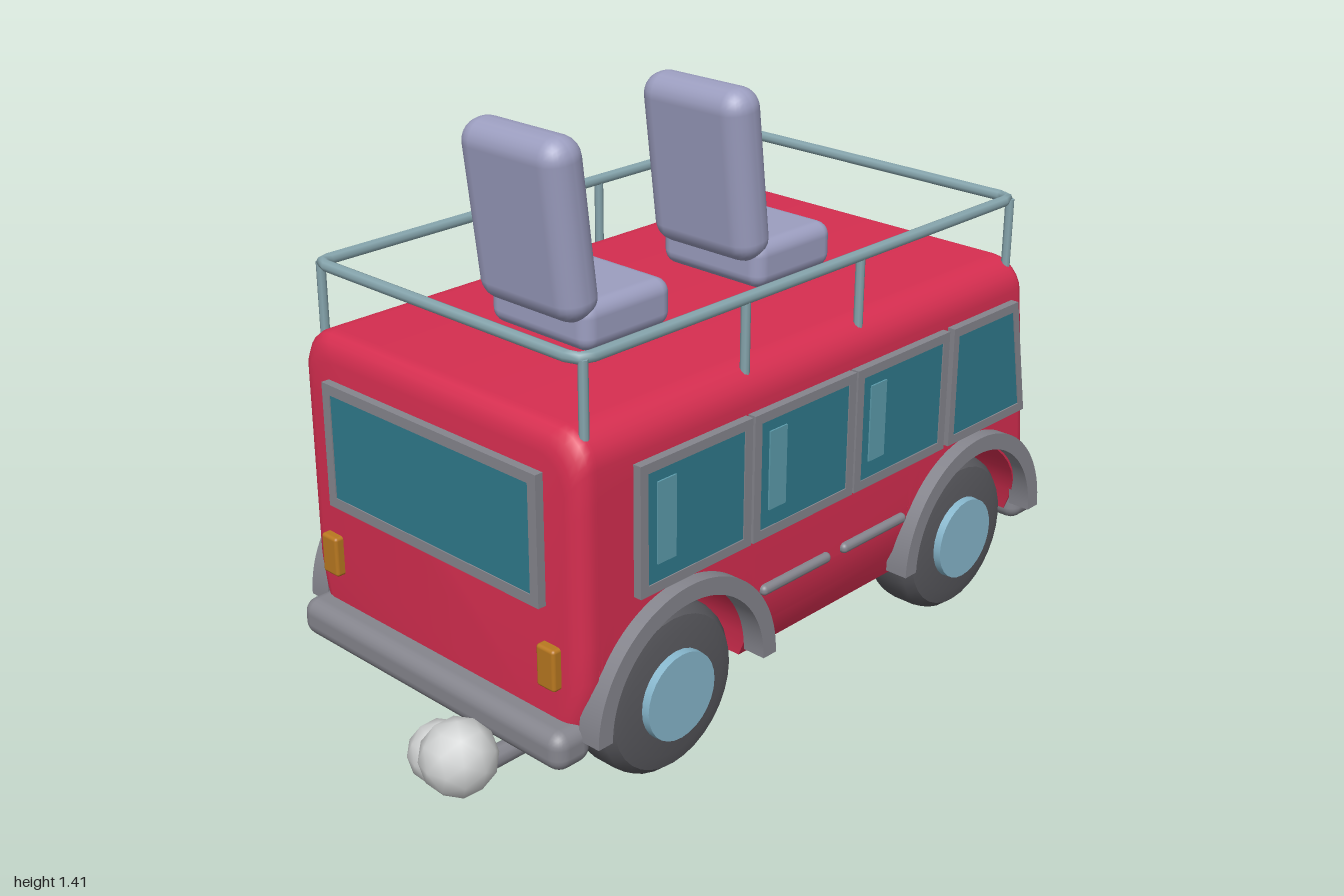
import * as THREE from 'three';
import { toCreasedNormals } from 'three/addons/utils/BufferGeometryUtils.js';
import { RoundedBoxGeometry } from 'three/addons/geometries/RoundedBoxGeometry.js';

const mat = (name, color) => Object.assign(new THREE.MeshStandardMaterial({ color }), { name });
const M = {
  red: mat('red paint', 0xd62e50),
  glass: mat('teal glass', 0x2f7a8c),
  shine: mat('glass shine', 0x5c9cac),
  grey: mat('grey trim', 0x85858d),
  tyre: mat('dark rubber', 0x58585d),
  hub: mat('blue hub', 0x86b6cc),
  rail: mat('rail metal', 0x86a5ad),
  seat: mat('lavender seat', 0x9c9ec0),
  pale: mat('pale white', 0xd0d2d2),
  amber: mat('amber lamp', 0xb87820),
};

const WHEELS = [-0.407, 0.64], AXLE_Y = 0.21;
const frontX = y => 0.93 - 0.14 * (y - 0.21); // sloping nose

function add(parent, name, geo, material, x = 0, y = 0, z = 0) {
  const m = new THREE.Mesh(geo, material);
  m.name = name;
  m.position.set(x, y, z);
  parent.add(m);
  return m;
}
const rbox = (w, h, d, r) => new RoundedBoxGeometry(w, h, d, 3, r);

// Body: cross-sections along x, whose lower edge follows the wheel arches
function bodyGeometry() {
  const floor = 0.185, archR = 0.245, edge = 0.045, st = [];
  for (let k = 0; k <= 4; k++) {
    const t = k / 4 * Math.PI / 2;
    st.push({ x: -0.7 + edge * (1 - Math.cos(t)), s: edge * (1 - Math.sin(t)), b: floor });
  }
  for (const c of WHEELS) for (let k = 0; k <= 20; k++) {
    const a = Math.PI * (1 - k / 20);
    st.push({ x: c + archR * Math.cos(a), s: 0,
      b: k % 20 ? AXLE_Y + archR * Math.sin(a) : floor });
  }
  for (let k = 4; k >= 0; k--) {
    const t = k / 4 * Math.PI / 2;
    st.push({ x: 0.93 - edge * (1 - Math.cos(t)), s: edge * (1 - Math.sin(t)), b: floor });
  }
  const rings = st.map(({ x, s, b }) => {
    const W = 0.455 - s, T = 0.91 - 1.3 * s, r = 0.08, half = [];
    for (let k = 0; k <= 8; k++) {
      const y = b + (T - r - b) * k / 8;
      const tuck = Math.max(0, (0.36 - y) / 0.175);
      half.push([y, W - 0.045 * tuck * tuck]);
    }
    for (let k = 1; k <= 6; k++) {
      const a = k / 6 * Math.PI / 2;
      half.push([T - r + r * Math.sin(a), W - r + r * Math.cos(a)]);
    }
    const place = (y, z) => [x > 0.64 ? 0.64 + (x - 0.64) * (frontX(y) - 0.64) / 0.29 : x, y, z];
    return [...half.map(([y, z]) => place(y, z)), ...half.reverse().map(([y, z]) => place(y, -z))];
  });
  const pos = [], tri = (a, b, c) => pos.push(...a, ...b, ...c);
  const n = rings[0].length, last = rings.length - 1;
  for (let i = 0; i < last; i++) for (let j = 0; j < n; j++) {
    const A = rings[i], B = rings[i + 1], k = (j + 1) % n;
    tri(A[j], B[j], B[k]);
    tri(A[j], B[k], A[k]);
  }
  for (let j = 1; j < n - 1; j++) {
    tri(rings[0][0], rings[0][j], rings[0][j + 1]);
    tri(rings[last][0], rings[last][j + 1], rings[last][j]);
  }
  const g = new THREE.BufferGeometry();
  g.setAttribute('position', new THREE.Float32BufferAttribute(pos, 3));
  return toCreasedNormals(g, 0.6);
}

// Framed window in local xy, facing +z, from four corner points
function windowPanel(name, pts, border) {
  const g = new THREE.Group();
  g.name = name;
  const xs = pts.map(p => p[0]), ys = pts.map(p => p[1]);
  const w = Math.max(...xs) - Math.min(...xs), h = Math.max(...ys) - Math.min(...ys);
  const cx = xs.reduce((a, b) => a + b) / 4, cy = ys.reduce((a, b) => a + b) / 4;
  const inner = pts.map(([x, y]) => new THREE.Vector2(
    cx + (x - cx) * (1 - 2 * border / w), cy + (y - cy) * (1 - 2 * border / h)));
  const frame = new THREE.Shape(pts.map(p => new THREE.Vector2(...p)));
  frame.holes.push(new THREE.Path(inner));
  const extrude = (s, depth) => new THREE.ExtrudeGeometry(s, { depth, bevelEnabled: false });
  add(g, 'windowFrame', extrude(frame, 0.03), M.grey, 0, 0, -0.01);
  add(g, 'windowGlass', extrude(new THREE.Shape(inner), 0.027), M.glass, 0, 0, -0.01);
  return g;
}
const rect = (x0, x1, y0, y1) => [[x0, y0], [x1, y0], [x1, y1], [x0, y1]];

function wheel(x, side) {
  const g = new THREE.Group();
  g.name = 'wheel';
  const profile = [[0, -0.078], [0.15, -0.078], [0.183, -0.07], [0.2, -0.05], [0.205, -0.03],
    [0.205, 0.03], [0.2, 0.05], [0.183, 0.07], [0.15, 0.078], [0, 0.078]];
  const tyre = new THREE.LatheGeometry(profile.map(p => new THREE.Vector2(...p)), 32);
  add(g, 'tyre', toCreasedNormals(tyre.rotateX(Math.PI / 2), 0.5), M.tyre);
  add(g, 'hub', new THREE.CylinderGeometry(0.105, 0.112, 0.1, 28).rotateX(Math.PI / 2), M.hub, 0, 0, 0.047);
  g.position.set(x, AXLE_Y - 0.005, side * 0.366);
  g.rotation.y = side > 0 ? 0 : Math.PI;
  return g;
}

function fenderGeometry() {
  const s = new THREE.Shape();
  s.absarc(0, 0, 0.282, 0, Math.PI, false);
  s.absarc(0, 0, 0.24, Math.PI, 0, true);
  return toCreasedNormals(new THREE.ExtrudeGeometry(s, { depth: 0.06, bevelEnabled: false, curveSegments: 24 }), 0.5);
}

function seat(x) {
  const g = new THREE.Group();
  g.name = 'seat';
  add(g, 'seatCushion', rbox(0.275, 0.115, 0.32, 0.035), M.seat, -0.253, 0.972, 0);
  add(g, 'seatBack', rbox(0.112, 0.425, 0.32, 0.053), M.seat, -0.4, 1.195, 0).rotation.z = 0.125;
  g.position.x = x;
  return g;
}

function roofRail() {
  const g = new THREE.Group();
  g.name = 'roofRail';
  const path = new THREE.CurvePath();
  const x0 = -0.66, x1 = 0.808, z = 0.42, r = 0.035, y = 1.06;
  const corners = [[x0, -z], [x1, -z], [x1, z], [x0, z]];
  const v = ([a, b]) => new THREE.Vector3(a, y, b);
  const near = (a, b) => v(a).add(v(b).sub(v(a)).setLength(r));
  corners.forEach((c, i) => {
    const prev = corners[(i + 3) % 4], next = corners[(i + 1) % 4];
    path.add(new THREE.QuadraticBezierCurve3(near(c, prev), v(c), near(c, next)));
    path.add(new THREE.LineCurve3(near(c, next), near(next, c)));
  });
  add(g, 'railLoop', new THREE.TubeGeometry(path, 160, 0.014, 8, true), M.rail);
  for (const s of [1, -1]) for (const x of [-0.65, -0.17, 0.218, 0.8])
    add(g, 'railPost', new THREE.CylinderGeometry(0.011, 0.011, 0.18, 8), M.rail, x, 0.97, s * 0.42);
  return g;
}

export function createModel() {
  const bus = new THREE.Group();
  bus.name = 'bus';
  add(bus, 'body', bodyGeometry(), M.red);

  // Sides: windows, shine strips, trim, fenders and wheels
  const fender = fenderGeometry();
  const panes = [rect(-0.547, -0.203, 0.505, 0.81), rect(-0.195, 0.15, 0.505, 0.81),
    rect(0.157, 0.503, 0.505, 0.81), [[0.522, 0.505], [0.843, 0.505], [0.785, 0.81], [0.522, 0.81]]];
  for (const s of [1, -1]) {
    panes.forEach((pts, i) => {
      const p = windowPanel('sideWindow', pts.map(([x, y]) => [s * x, y]), 0.023);
      p.position.z = s * 0.456;
      p.rotation.y = s > 0 ? 0 : Math.PI;
      bus.add(p);
      if (i < 3) add(bus, 'windowShine', new THREE.BoxGeometry(0.056, 0.19, 0.008), M.shine, pts[0][0] + 0.078, 0.665, s * 0.473);
    });
    for (const x of [-0.025, 0.26]) add(bus, 'sideTrim', rbox(0.24, 0.026, 0.03, 0.012), M.grey, x, 0.36, s * 0.455);
    for (const x of WHEELS) {
      add(bus, 'fender', fender, M.grey, x, AXLE_Y, s > 0 ? 0.43 : -0.49);
      bus.add(wheel(x, s));
    }

    // Lamps
    const disc = (a, b, h) => new THREE.CylinderGeometry(a, b, h, 28).rotateZ(-Math.PI / 2);
    add(bus, 'headlightRim', disc(0.062, 0.068, 0.05), M.grey, 0.907, 0.355, s * 0.305).rotation.z = 0.139;
    add(bus, 'headlightLens', disc(0.048, 0.056, 0.06), M.pale, 0.912, 0.355, s * 0.305).rotation.z = 0.139;
    add(bus, 'tailLight', rbox(0.04, 0.1, 0.055, 0.008), M.amber, -0.702, 0.37, s * 0.365);
  }

  // Windscreen and rear window
  const screen = windowPanel('windscreen', rect(-0.363, 0.363, -0.164, 0.164), 0.025);
  screen.position.set(frontX(0.697), 0.697, 0);
  screen.rotation.set(-0.139, Math.PI / 2, 0, 'YXZ');
  const rear = windowPanel('rearWindow', rect(-0.35, 0.35, 0.505, 0.81), 0.025);
  rear.position.x = -0.701;
  rear.rotation.y = -Math.PI / 2;
  bus.add(screen, rear);

  // Bumpers
  add(bus, 'frontBumper', rbox(0.108, 0.094, 0.885, 0.035), M.grey, 0.944, 0.197, 0);
  add(bus, 'rearBumper', rbox(0.108, 0.094, 0.885, 0.035), M.grey, -0.706, 0.197, 0);

  // Roof rail and seats
  bus.add(roofRail(), seat(0), seat(0.56));

  // Exhaust pipe and smoke puffs
  add(bus, 'exhaustPipe', new THREE.CylinderGeometry(0.025, 0.025, 0.16, 10).rotateZ(Math.PI / 2), M.grey, -0.74, 0.137, 0.265);
  add(bus, 'smokePuff', new THREE.IcosahedronGeometry(0.085, 1), M.pale, -0.917, 0.222, 0.31);
  add(bus, 'smokePuff', new THREE.IcosahedronGeometry(0.072, 1), M.pale, -0.883, 0.172, 0.21);
  return bus;
}
